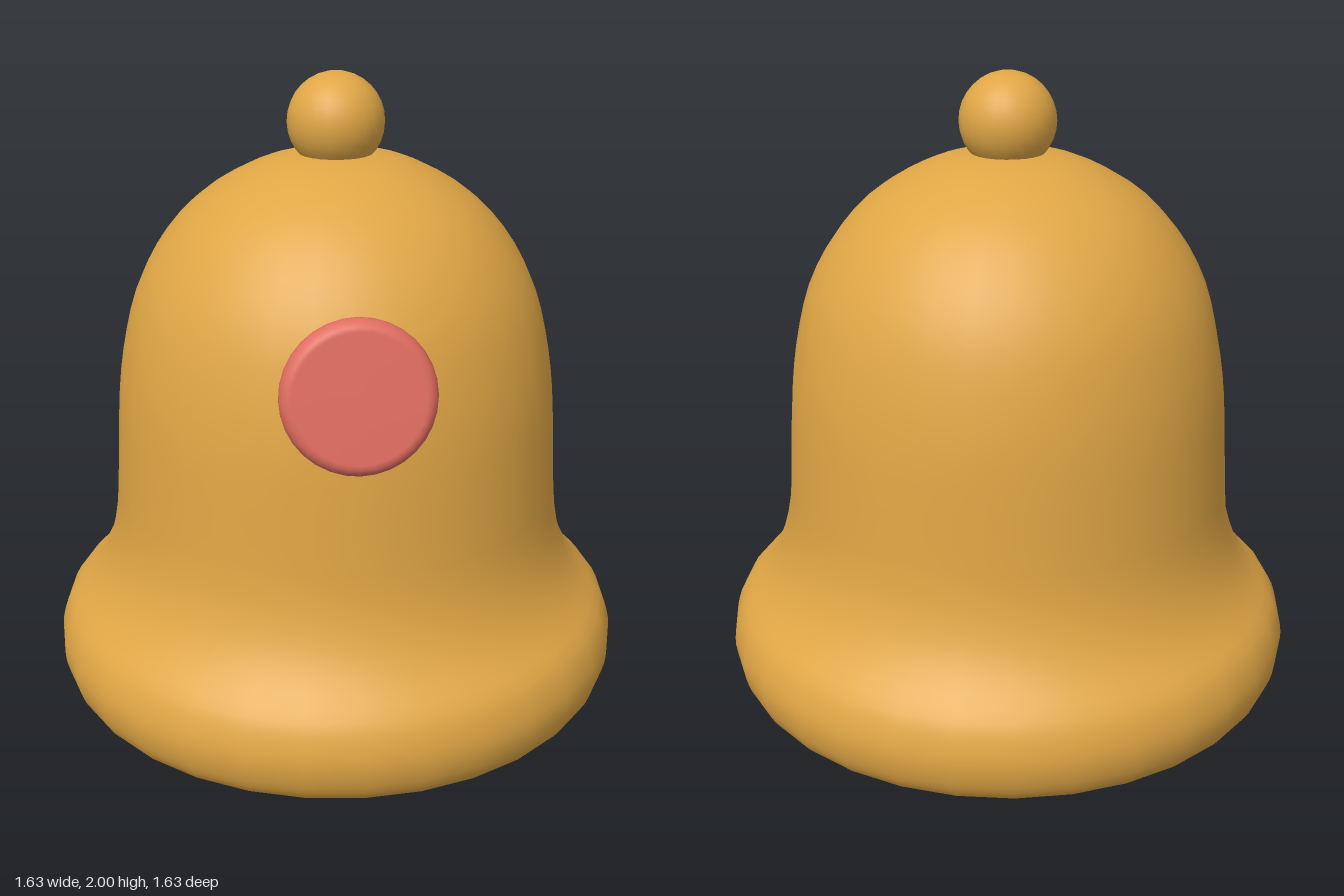
import * as THREE from 'three';

const gold = new THREE.MeshStandardMaterial({ color: 0xe0a645 });
gold.name = 'gold';
const red = new THREE.MeshStandardMaterial({ color: 0xe06c60 });
red.name = 'red';
const silver = new THREE.MeshStandardMaterial({ color: 0xd9d9d9 });
silver.name = 'silver';

const vectors = (list) => list.map(([x, y]) => new THREE.Vector2(x, y));
const smooth = (list, n) => new THREE.SplineCurve(vectors(list)).getPoints(n);

function addPart(group, name, geometry, material, x, y, z) {
  const mesh = new THREE.Mesh(geometry, material);
  mesh.name = name;
  mesh.position.set(x, y, z);
  group.add(mesh);
  return mesh;
}

export function createModel() {
  const model = new THREE.Group();
  model.name = 'bell';

  // Bell: shallow hollow with a flat ceiling and flared mouth, rounded lip, then up the outside
  const inner = smooth([
    [0, 0.755], [0.2, 0.752], [0.38, 0.74], [0.49, 0.7], [0.555, 0.62],
    [0.585, 0.52], [0.605, 0.43], [0.635, 0.345], [0.68, 0.285], [0.72, 0.253],
  ], 26);
  const outer = smooth([
    [0.735, 0.245], [0.77, 0.257], [0.8, 0.298], [0.816, 0.36], [0.812, 0.42],
    [0.785, 0.49], [0.72, 0.56], [0.67, 0.645], [0.638, 0.76], [0.625, 0.92],
    [0.612, 1.12], [0.59, 1.27], [0.55, 1.42], [0.48, 1.55], [0.38, 1.66],
    [0.25, 1.74], [0.13, 1.78], [0, 1.79],
  ], 44);
  addPart(model, 'bellShell', new THREE.LatheGeometry([...inner, ...outer], 32), gold, 0, 0, 0);

  // Top knob
  addPart(model, 'knob', new THREE.SphereGeometry(0.132, 24, 16), gold, 0, 1.868, 0);

  // Clapper ball
  addPart(model, 'clapper', new THREE.SphereGeometry(0.27, 24, 16), silver, 0, 0.275, 0);

  // Round button with soft edges, leaning back against the front of the shell
  const buttonProfile = vectors([[0, -0.038], [0.165, -0.038]]);
  for (let i = 1; i < 8; i++) {
    const a = -Math.PI / 2 + (Math.PI * i) / 8;
    buttonProfile.push(new THREE.Vector2(0.165 + 0.033 * Math.cos(a), 0.038 * Math.sin(a)));
  }
  buttonProfile.push(...vectors([[0.165, 0.038], [0, 0.038]]));
  const button = addPart(model, 'button', new THREE.LatheGeometry(buttonProfile, 32), red, 0, 1.305, 0.592);
  button.rotation.x = THREE.MathUtils.degToRad(79);

  return model;
}
